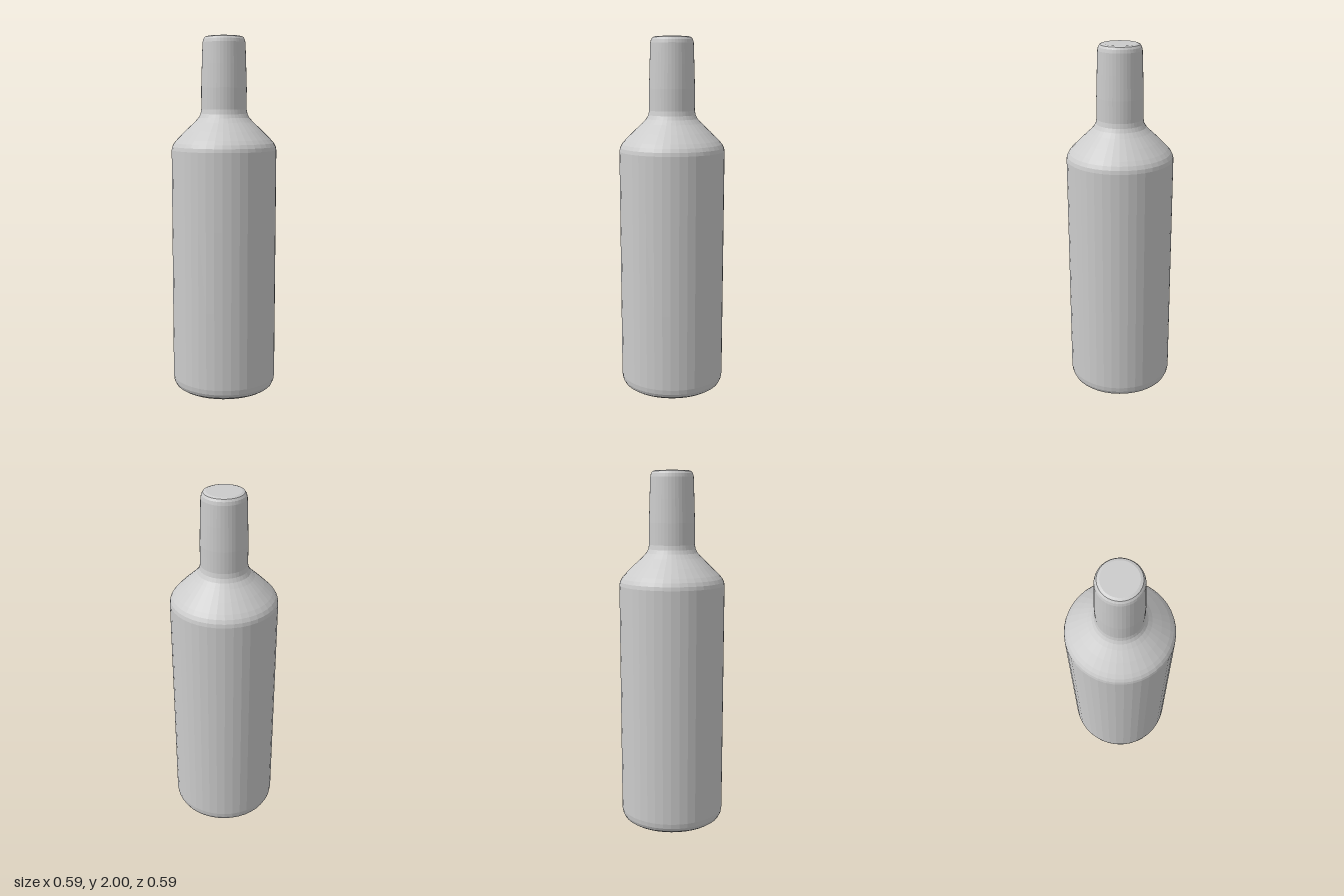
import * as THREE from 'three';

const SIDES = 40;

export function createModel() {
  const bottle = new THREE.Group();
  bottle.name = 'bottle';
  const material = new THREE.MeshStandardMaterial({ color: 0xcccccc, flatShading: true });

  // Each part is turned from [radius, height] points, listed from bottom to top
  const turn = (name, profile) => {
    const points = profile.map(([r, y]) => new THREE.Vector2(r, y));
    const mesh = new THREE.Mesh(new THREE.LatheGeometry(points, SIDES), material);
    mesh.name = name;
    bottle.add(mesh);
  };

  // Flat base with a rounded lower edge and straight wall
  turn('body', [
    [0, 0], [0.235, 0], [0.262, 0.005], [0.281, 0.018], [0.291, 0.038], [0.295, 0.065],
    [0.295, 0.5], [0.295, 0.95], [0.295, 1.375],
  ]);

  // Rounded upper edge, sloping cone and soft fillet into the neck
  turn('shoulder', [
    [0.295, 1.375], [0.291, 1.395], [0.28, 1.415], [0.262, 1.436],
    [0.215, 1.483], [0.165, 1.53], [0.143, 1.554], [0.132, 1.575], [0.127, 1.6],
  ]);

  // Slightly tapered neck closed by a flat top with a rounded rim
  turn('neck', [
    [0.127, 1.6], [0.127, 1.72], [0.123, 1.85], [0.119, 1.965],
    [0.115, 1.983], [0.107, 1.995], [0.093, 2], [0, 2],
  ]);

  return bottle;
}
